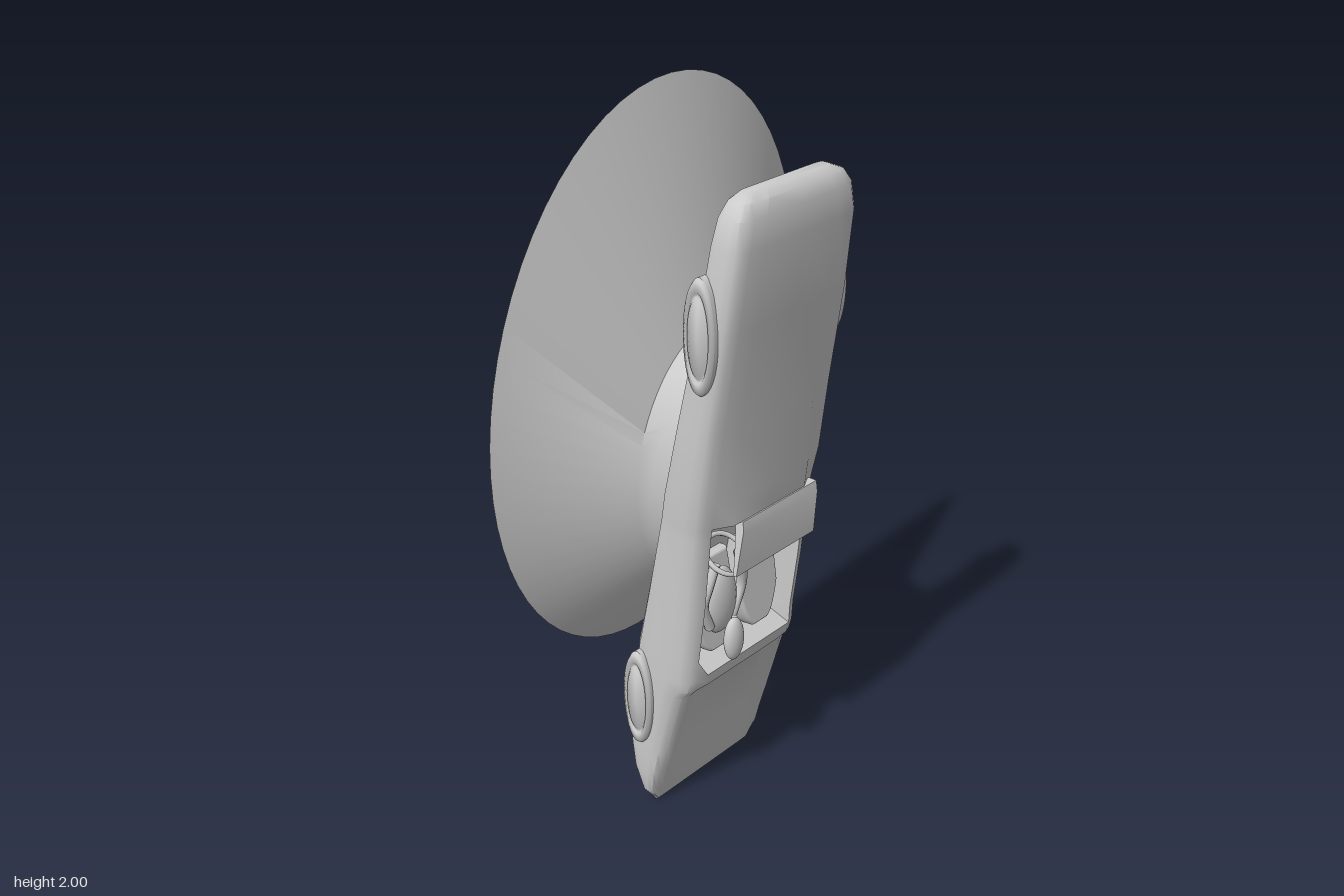
import * as THREE from 'three';
import { toCreasedNormals } from 'three/addons/utils/BufferGeometryUtils.js';

const grey = new THREE.MeshStandardMaterial({ color: 0xcccccc, side: THREE.DoubleSide });

function add(parent, name, geometry, pos = [0, 0, 0], scale = [1, 1, 1], rot = [0, 0, 0]) {
  const mesh = new THREE.Mesh(geometry, grey);
  mesh.name = name;
  mesh.position.set(...pos);
  mesh.scale.set(...scale);
  mesh.rotation.set(...rot);
  parent.add(mesh);
  return mesh;
}

// Skin a list of closed rings of equal length and cap both ends
function loft(rings, crease = 0.7) {
  const n = rings[0].length;
  const pos = rings.flat(2);
  const index = [];
  for (let i = 0; i < rings.length - 1; i++) {
    for (let j = 0; j < n; j++) {
      const k = (j + 1) % n;
      const a = i * n + j, b = i * n + k, c = a + n, d = b + n;
      index.push(a, b, c, b, d, c);
    }
  }
  [0, rings.length - 1].forEach((r, end) => {
    const centre = pos.length / 3;
    for (let axis = 0; axis < 3; axis++) {
      pos.push(rings[r].reduce((sum, p) => sum + p[axis], 0) / n);
    }
    for (let j = 0; j < n; j++) {
      const a = r * n + j, b = r * n + (j + 1) % n;
      index.push(centre, end ? a : b, end ? b : a);
    }
  });
  const g = new THREE.BufferGeometry();
  g.setAttribute('position', new THREE.Float32BufferAttribute(pos, 3));
  g.setIndex(index);
  return toCreasedNormals(g, crease);
}

// Car cross-section: underside, sides, shoulder, inner rim, centre surface
function bodyRing([y, zb, zt, w, zi, inner]) {
  const h = zt - zb;
  const half = [
    [0, zb], [w * 0.88, zb], [w * 0.97, zb + h * 0.1], [w, zb + h * 0.3],
    [w, zb + h * 0.65], [w * 0.97, zb + h * 0.85], [w * 0.9, zb + h * 0.96],
    [w * 0.8, zt], [inner, zi], [0, zi],
  ];
  const mirrored = half.slice(1, -1).reverse().map(([x, z]) => [-x, z]);
  return [...half, ...mirrored].map(([x, z]) => [x, y, z]);
}

// Tilted ellipse; slope is the change of z with y
function ellipseRing([cy, cz, rx, ry, slope]) {
  return Array.from({ length: 64 }, (_, i) => {
    const t = i / 64 * Math.PI * 2;
    const dy = ry * Math.sin(t);
    return [rx * Math.cos(t), cy + dy, cz + slope * dy];
  });
}

function tube(points, radius) {
  const curve = new THREE.CatmullRomCurve3(points.map(p => new THREE.Vector3(...p)));
  return new THREE.TubeGeometry(curve, 16, radius, 8);
}

export function createModel() {
  const model = new THREE.Group();
  model.name = 'carOnFlaredBase';

  // Flared oval base with a short neck reaching the underside of the car
  add(model, 'flaredBase', loft([
    [1.195, -0.205, 0.57, 0.805, 0.094],
    [1.03, -0.03, 0.25, 0.37, 0.08],
    [1.025, 0.0, 0.232, 0.36, 0.16],
    [1.02, 0.045, 0.222, 0.355, 0.215],
  ].map(ellipseRing)));

  const car = new THREE.Group();
  car.name = 'car';
  model.add(car);

  // Body from nose to tail: y, underside z, shoulder z, half width, centre z, inner half width
  add(car, 'body', loft([
    [1.82, 0.208, 0.24, 0.15, 0.243, 0.09],
    [1.805, 0.198, 0.263, 0.185, 0.266, 0.11],
    [1.77, 0.188, 0.274, 0.21, 0.278, 0.13],
    [1.7, 0.178, 0.275, 0.226, 0.281, 0.14],
    [1.5, 0.145, 0.25, 0.236, 0.256, 0.14],
    [1.23, 0.084, 0.208, 0.243, 0.216, 0.14],
    [1.03, 0.038, 0.183, 0.245, 0.206, 0.14],
    [0.95, 0.02, 0.168, 0.238, 0.196, 0.14],
    [0.92, 0.013, 0.163, 0.237, 0.06, 0.165],
    [0.7, -0.036, 0.142, 0.236, 0.03, 0.165],
    [0.53, -0.075, 0.12, 0.236, 0.02, 0.16],
    [0.47, -0.085, 0.117, 0.236, 0.117, 0.15],
    [0.435, -0.09, 0.108, 0.236, 0.112, 0.14],
    [0.41, -0.095, 0.088, 0.236, 0.075, 0.13],
    [0.2, -0.104, 0.026, 0.237, 0.014, 0.135],
    [0.12, -0.09, 0.001, 0.237, -0.004, 0.14],
    [0.05, -0.063, -0.02, 0.23, -0.02, 0.14],
    [0.0, -0.042, -0.035, 0.195, -0.035, 0.13],
  ].map(bodyRing)));

  // Windscreen sweeping back over the cockpit
  add(car, 'windscreen', loft([
    [0.95, -0.11, 0.185, 0.175, 0.2],
    [0.92, -0.115, 0.185, 0.18, 0.205],
    [0.8, -0.135, 0.18, 0.19, 0.2],
  ].map(([y, x0, x1, z0, z1]) => [[x0, y, z0], [x1, y, z0], [x1, y, z1], [x0, y, z1]])));

  // Seats
  const seatShape = new THREE.Shape();
  seatShape.moveTo(-0.065, 0.13);
  seatShape.lineTo(-0.07, -0.04);
  seatShape.quadraticCurveTo(-0.045, -0.12, -0.02, -0.13);
  seatShape.lineTo(0.03, -0.13);
  seatShape.quadraticCurveTo(0.06, -0.1, 0.075, 0);
  seatShape.lineTo(0.065, 0.13);
  const seatGeo = new THREE.ExtrudeGeometry(seatShape, {
    depth: 0.03, bevelSize: 0.008, bevelThickness: 0.012, bevelSegments: 3,
  });
  for (const side of [-1, 1]) {
    add(car, side < 0 ? 'driverSeat' : 'passengerSeat', seatGeo,
      [side * 0.09, 0.65, 0.045], [-side, 1, 1], [-0.12, 0, 0]);
  }

  // Driver with both arms reaching for the steering wheel
  const ball = new THREE.SphereGeometry(1, 24, 16);
  const driver = new THREE.Group();
  driver.name = 'driver';
  car.add(driver);
  add(driver, 'torso', ball, [-0.085, 0.67, 0.1], [0.06, 0.1, 0.03]);
  add(driver, 'head', ball, [-0.075, 0.56, 0.142], [0.033, 0.065, 0.022]);
  for (const side of [-1, 1]) {
    const x = d => -0.09 + side * d;
    add(driver, 'arm', tube([
      [x(0.045), 0.61, 0.11], [x(0.075), 0.69, 0.115],
      [x(0.065), 0.75, 0.125], [x(0.045), 0.81, 0.13],
    ], 0.014));
  }
  add(car, 'steeringWheel', new THREE.TorusGeometry(0.06, 0.007, 8, 32),
    [-0.09, 0.82, 0.125], [1, 1, 1], [-0.9, 0, 0]);

  // Wheels: rounded tyre, stepped rim and slightly domed hub
  const wheelGeo = toCreasedNormals(new THREE.LatheGeometry([
    [0, 0], [0.95, 0], [1, 0.008], [1, 0.055], [0.95, 0.064], [0.78, 0.066],
    [0.74, 0.061], [0.7, 0.061], [0.66, 0.065], [0, 0.067],
  ].map(p => new THREE.Vector2(...p)), 40), 0.8);
  for (const side of [-1, 1]) {
    for (const [name, y, z, ry, rz] of [
      ['frontWheel', 1.485, 0.177, 0.148, 0.046],
      ['rearWheel', 0.37, -0.05, 0.148, 0.048],
    ]) {
      const wheel = new THREE.Group();
      wheel.name = name;
      wheel.position.set(side * 0.19, y, z);
      wheel.scale.set(1, ry, rz);
      car.add(wheel);
      add(wheel, 'tyreAndHub', wheelGeo, [0, 0, 0], [1, 1, 1], [0, 0, -side * Math.PI / 2]);
    }
  }
  return model;
}
